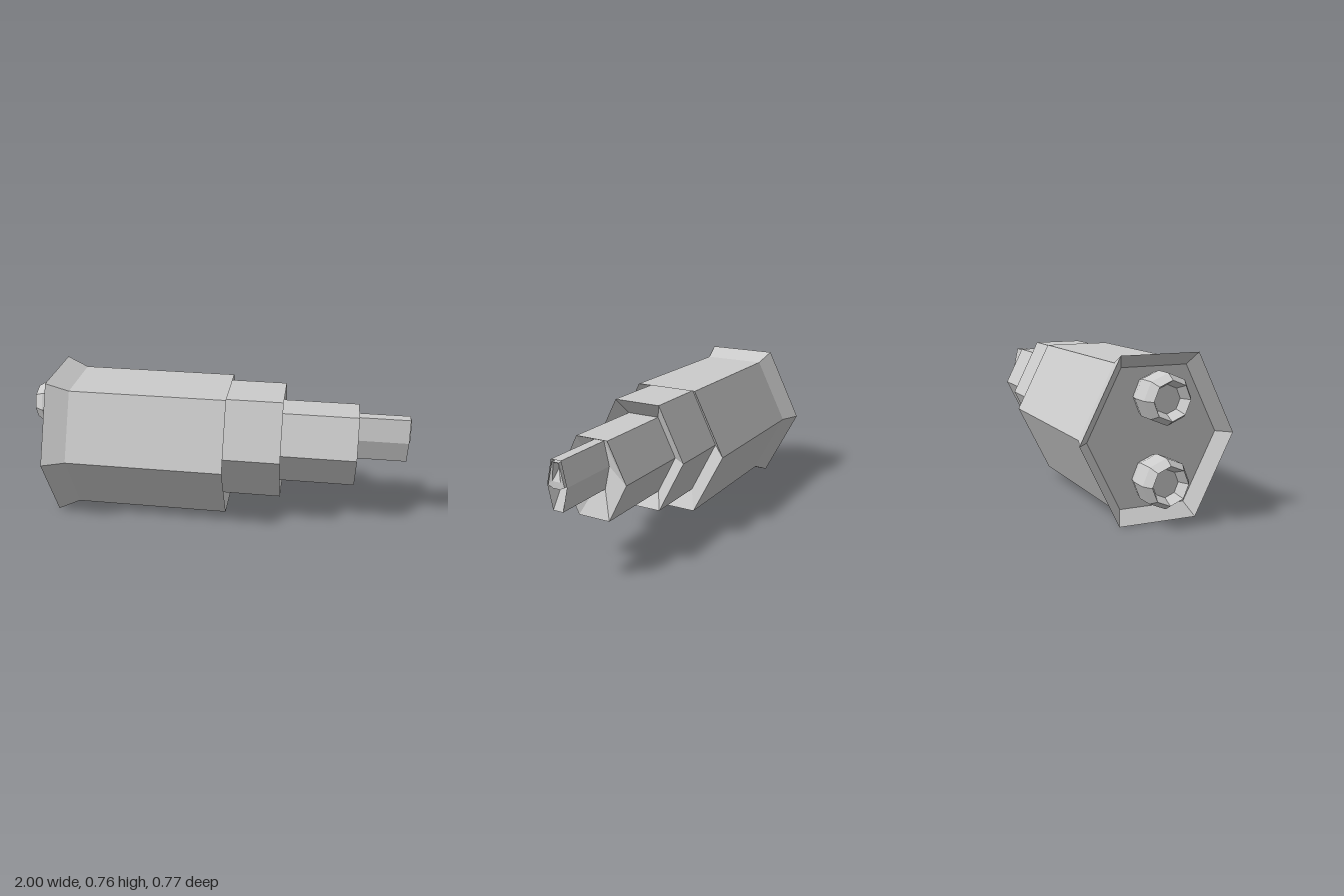
import * as THREE from 'three';

const material = new THREE.MeshStandardMaterial({ color: 0xcccccc, flatShading: true, side: THREE.DoubleSide });

// Six corners of a section: middle half width m at ym, flat edge half width t at yb and yt
function hexRing([x, yb, ym, yt, m, t]) {
  return [[-m, ym], [-t, yt], [t, yt], [m, ym], [t, yb], [-t, yb]]
    .map(([z, y]) => new THREE.Vector3(x, y, z));
}

// Skin a list of sections, leaving out collapsed triangles
function loft(name, sections) {
  const rings = sections.map(hexRing);
  const pos = [];
  const tri = (a, b, c) => {
    if (new THREE.Triangle(a, b, c).getArea() < 1e-7) return;
    for (const p of [a, b, c]) pos.push(p.x, p.y, p.z);
  };
  for (let i = 0; i + 1 < rings.length; i++) {
    const a = rings[i], b = rings[i + 1];
    for (let j = 0; j < 6; j++) {
      const k = (j + 1) % 6;
      tri(a[j], a[k], b[k]);
      tri(a[j], b[k], b[j]);
    }
  }
  const geo = new THREE.BufferGeometry();
  geo.setAttribute('position', new THREE.Float32BufferAttribute(pos, 3));
  geo.computeVertexNormals();
  const mesh = new THREE.Mesh(geo, material);
  mesh.name = name;
  return mesh;
}

export function createModel() {
  const group = new THREE.Group();
  group.name = 'steppedHull';

  // Cross-sections: yb, ym, yt, m, t
  const flare = [0, 0.381, 0.762, 0.385, 0.193];
  const hull = [0.047, 0.382, 0.717, 0.34, 0.17];
  const collar = [0.145, 0.424, 0.703, 0.267, 0.127];
  const neck = [0.225, 0.424, 0.623, 0.187, 0.087];
  const barrel = [0.357, 0.477, 0.598, 0.054, 0.027];
  const muzzle = [0.465, 0.477, 0.589, 0.045, 0.018];
  const dip = 0.06;

  // Main hull: recessed rear wall, flared rim, long body
  group.add(loft('mainHull', [
    [-0.83, 0.381, 0.381, 0.381, 0, 0],
    [-0.83, 0.06, 0.381, 0.702, 0.325, 0.163],
    [-0.89, ...flare],
    [-0.775, ...hull],
    [0.05, ...hull],
    [0.05 - dip, ...collar],
  ]));

  // Telescoping stages, each with a sunken front that meets the next one
  const stages = [
    ['collar', 0.05, 0.34, collar, neck],
    ['neck', 0.34, 0.73, neck, barrel],
    ['barrel', 0.73, 0.995, barrel, muzzle],
  ];
  for (const [name, x0, x1, shape, next] of stages) {
    group.add(loft(name, [[x0 - dip, ...shape], [x1, ...shape], [x1 - dip, ...next]]));
  }

  // Small muzzle insert with a hollow front
  group.add(loft('muzzle', [
    [0.935, ...muzzle],
    [1, ...muzzle],
    [0.997, 0.497, 0.499, 0.585, 0.022, 0.014],
    [0.95, 0.569, 0.57, 0.571, 0.003, 0.002],
    [0.95, 0.57, 0.57, 0.57, 0, 0],
  ]));

  // Two eight-sided nozzles stacked on the rear wall
  const profile = [[0.1, 0.82], [0.116, 0.87], [0.116, 0.957], [0.09, 1], [0.065, 0.95], [0, 0.95]]
    .map(([r, h]) => new THREE.Vector2(r, h));
  const nozzleGeo = new THREE.LatheGeometry(profile, 8).rotateZ(Math.PI / 2);
  for (const [name, y] of [['upperNozzle', 0.571], ['lowerNozzle', 0.195]]) {
    const nozzle = new THREE.Mesh(nozzleGeo, material);
    nozzle.name = name;
    nozzle.position.y = y;
    group.add(nozzle);
  }

  return group;
}
